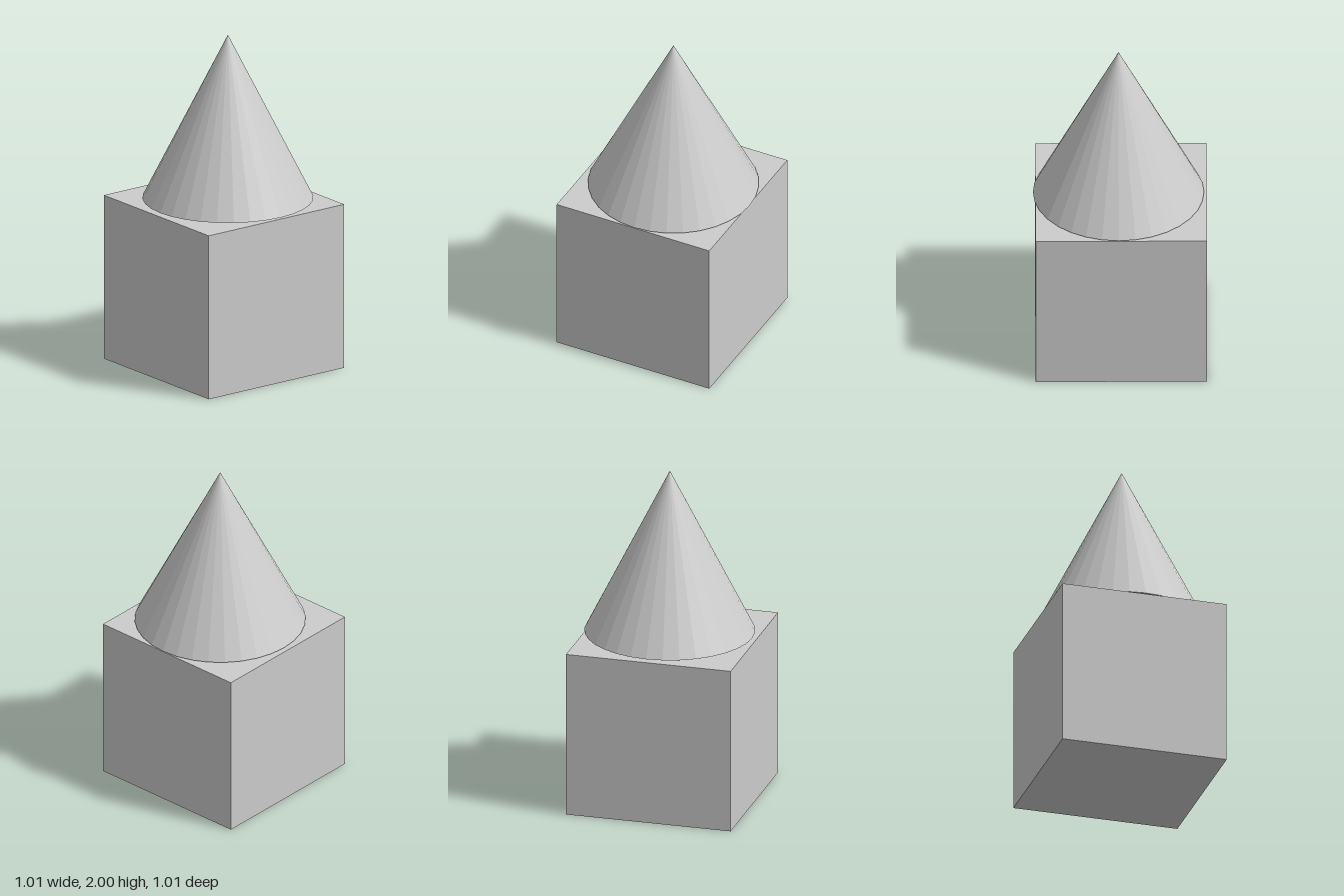
import * as THREE from 'three';

export function createModel() {
  const model = new THREE.Group();
  model.name = 'blockWithCone';
  const material = new THREE.MeshStandardMaterial({ color: 0xcccccc, flatShading: true });

  const addPart = (name, geometry, x, y, z) => {
    const mesh = new THREE.Mesh(geometry, material);
    mesh.name = name;
    mesh.position.set(x, y, z);
    model.add(mesh);
  };

  // Cube base, slightly off centre
  const size = 0.995;
  addPart('cubeBase', new THREE.BoxGeometry(size, size, size), -0.008, size / 2, 0.008);

  // Faceted cone with a closed base, floating just above the cube
  const bottom = 1.01;
  const height = 2 - bottom;
  addPart('coneTop', new THREE.ConeGeometry(0.497, height, 32), 0.007, bottom + height / 2, -0.009);

  return model;
}
